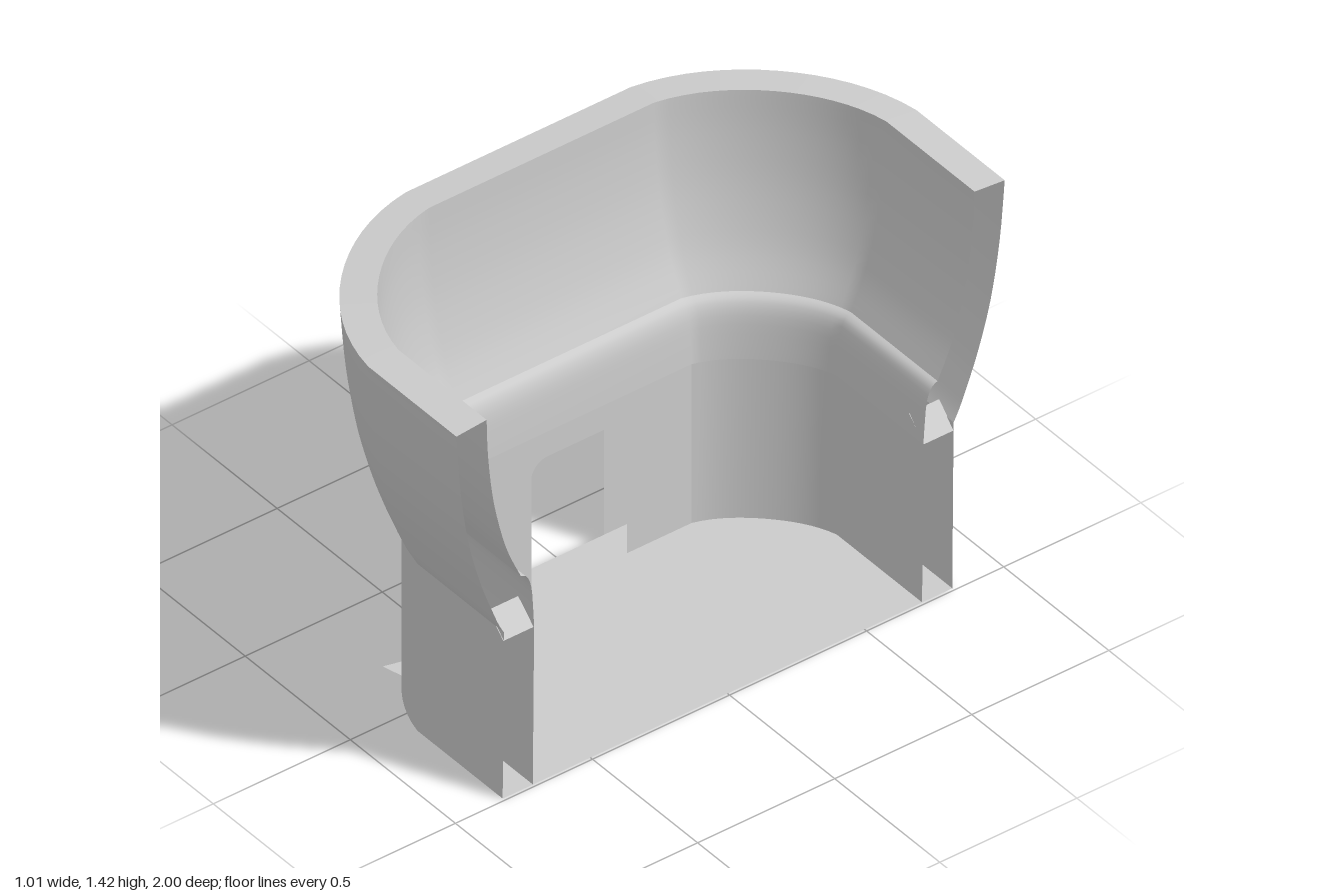
import * as THREE from 'three';

const CX = 0.085, CZ = 0.41, SEG = 16; // corner centres and arc divisions
const material = new THREE.MeshStandardMaterial({ color: 0xcccccc, side: THREE.DoubleSide });

// Stations along the U-shaped plan: straight end, corner, back, corner, straight end.
// Each corner is slightly flatter than a circle; cut is how far it is pulled in.
const stations = [{ end: true, z: CZ, nx: 0, nz: 1, cut: 0 }];
for (const side of [1, -1]) {
  for (let i = 0; i <= SEG; i++) {
    const a = (side > 0 ? i : SEG - i) / SEG * Math.PI / 2;
    stations.push({ z: side * CZ, nx: -Math.sin(a), nz: side * Math.cos(a), cut: 0.04 * Math.sin(2 * a) });
  }
}
stations.push({ end: true, z: -CZ, nx: 0, nz: -1, cut: 0 });

const endX = y => 0.49 + 0.0105 * y;
const place = (s, d, y) => {
  const r = d - s.cut;
  return [(s.end ? endX(y) : CX) + s.nx * r, y, s.z + s.nz * r];
};

// Sweep a profile of [offset, height] points along a run of stations
function sweep(name, profile, run = stations) {
  const positions = [], index = [], n = run.length;
  for (const [d, y] of profile) for (const s of run) positions.push(...place(s, d, y));
  for (let i = 0; i < profile.length - 1; i++) {
    for (let j = 0; j < n - 1; j++) {
      const a = i * n + j, b = a + n;
      index.push(a, b, a + 1, b, b + 1, a + 1);
    }
  }
  const g = new THREE.BufferGeometry();
  g.setAttribute('position', new THREE.Float32BufferAttribute(positions, 3));
  g.setIndex(index);
  g.computeVertexNormals();
  return mesh(name, g);
}

function mesh(name, geometry) {
  const m = new THREE.Mesh(geometry, material);
  m.name = name;
  return m;
}

// Smooth a few profile points into a curve
const smooth = (pts, n) => new THREE.SplineCurve(pts.map(p => new THREE.Vector2(...p)))
  .getPoints(n).map(p => [p.x, p.y]);

export function createModel() {
  const group = new THREE.Group();

  // Flared upper shell, hollow between its two skins
  group.add(
    sweep('flaredOuterSkin', smooth([[0.41, 0.61], [0.428, 0.645], [0.45, 0.7], [0.497, 0.83],
      [0.542, 1.0], [0.573, 1.2], [0.59, 1.415]], 24)),
    sweep('rim', [[0.59, 1.415], [0.48, 1.425]]),
    sweep('flaredInnerSkin', smooth([[0.48, 1.425], [0.473, 1.28], [0.45, 1.1], [0.405, 0.92],
      [0.35, 0.79]], 16)),
    sweep('innerLedge', smooth([[0.35, 0.79], [0.327, 0.775], [0.311, 0.73], [0.304, 0.65],
      [0.3, 0.58]], 10)),
    sweep('outerCollar', [[0.41, 0.58], [0.41, 0.61]]),
  );

  // Lower walls at each side, leaving the back straight for the doorway
  const half = SEG + 2;
  for (const [side, run] of [['left', stations.slice(0, half)], ['right', stations.slice(half)]]) {
    group.add(
      sweep(side + 'OuterWall', [[0.41, 0], [0.41, 0.58]], run),
      sweep(side + 'InnerWall', [[0.3, 0.58], [0.3, 0]], run),
    );
  }

  // Back wall: outer and inner skins, each with a round-topped doorway
  const w = 0.175, h = 0.49, r = 0.06;
  const panel = new THREE.Shape();
  panel.moveTo(-CZ, 0);
  panel.lineTo(-w, 0);
  panel.lineTo(-w, h - r);
  panel.absarc(-w + r, h - r, r, Math.PI, Math.PI / 2, true);
  panel.lineTo(w - r, h);
  panel.absarc(w - r, h - r, r, Math.PI / 2, 0, true);
  panel.lineTo(w, 0);
  panel.lineTo(CZ, 0);
  panel.lineTo(CZ, 0.58);
  panel.lineTo(-CZ, 0.58);
  for (const [name, d, turn] of [['outerDoorwayPanel', 0.41, -1], ['innerDoorwayPanel', 0.3, 1]]) {
    const g = new THREE.ShapeGeometry(panel);
    g.rotateY(turn * Math.PI / 2).translate(CX - d, 0, 0);
    group.add(mesh(name, g));
  }

  // Small sloped tabs inside the wall ends at the joint
  for (const side of [1, -1]) {
    const tab = new THREE.PlaneGeometry(0.11, 0.1);
    tab.rotateX(-Math.PI / 4).rotateY(Math.PI / 2).translate(endX(0.6) - 0.036, 0.615, side * (CZ + 0.357));
    group.add(mesh(side > 0 ? 'leftJointTab' : 'rightJointTab', tab));
  }

  // Floor plate with a small point at each rounded corner
  const outline = stations.map((s, i) => {
    const tip = i === 1 + SEG / 2 || i === half + SEG / 2;
    const [x, , z] = place(s, tip ? 0.47 : 0.41, 0);
    return new THREE.Vector2(x, z);
  });
  const floor = new THREE.ShapeGeometry(new THREE.Shape(outline));
  floor.rotateX(Math.PI / 2);
  group.add(mesh('floor', floor));

  return group;
}
